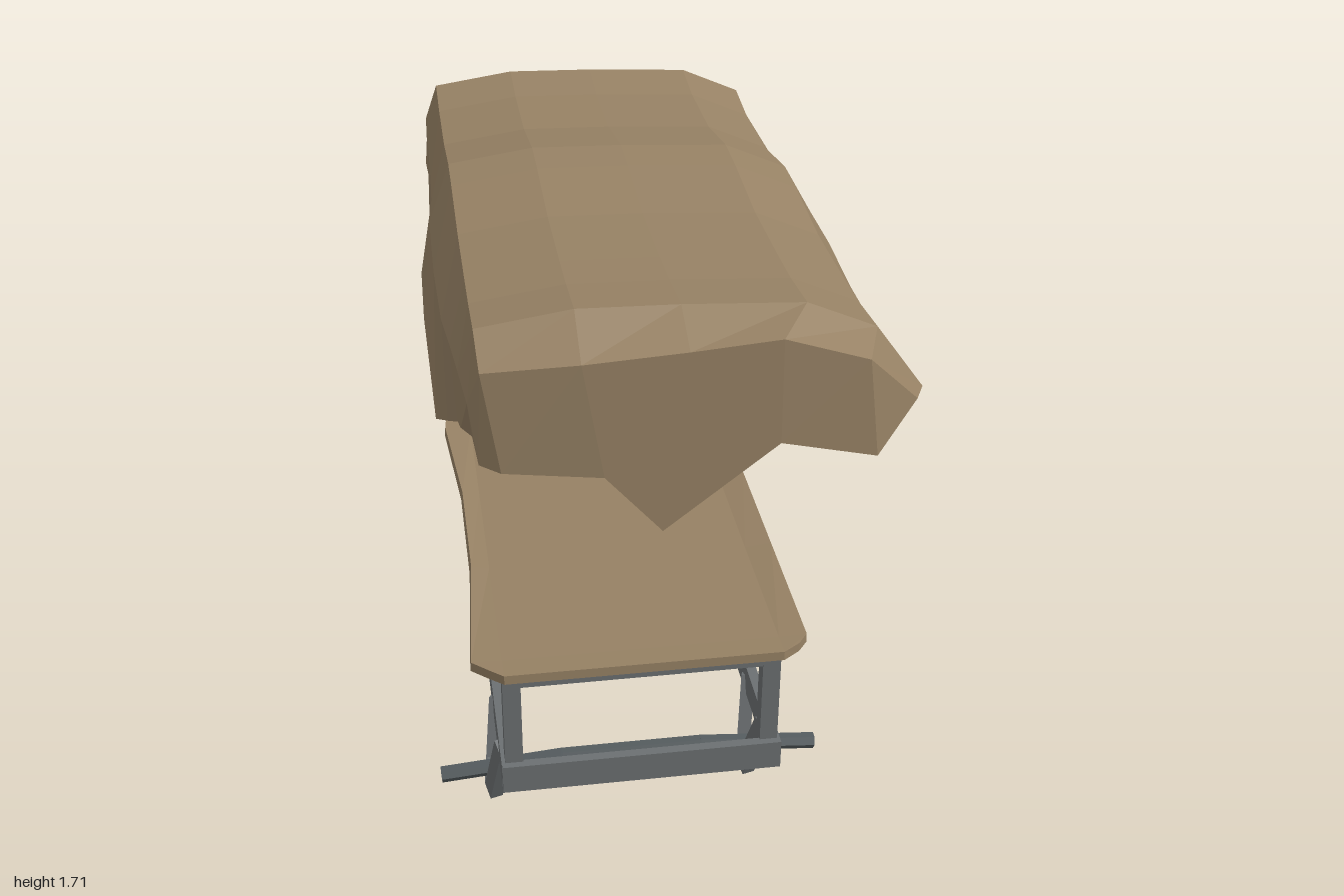
import * as THREE from 'three';

const mat = (name, color, extra = {}) => {
  const m = new THREE.MeshStandardMaterial({ color, flatShading: true, ...extra });
  m.name = name;
  return m;
};

// Thin solid sheet from a grid of points (rows run front to back, columns run -x to +x)
function sheetGeometry(rows, thickness) {
  const R = rows.length, C = rows[0].length, n = R * C;
  const top = new THREE.BufferGeometry();
  const pos = rows.flat(2), idx = [];
  const id = (i, j) => i * C + j;
  for (let i = 0; i < R - 1; i++) {
    for (let j = 0; j < C - 1; j++) {
      const a = id(i, j), b = id(i, j + 1), c = id(i + 1, j + 1), d = id(i + 1, j);
      idx.push(a, b, c, a, c, d);
    }
  }
  top.setAttribute('position', new THREE.Float32BufferAttribute(pos, 3));
  top.setIndex(idx);
  top.computeVertexNormals();
  const nor = top.attributes.normal.array;
  const all = pos.concat(pos.map((v, k) => v - nor[k] * thickness));
  const faces = idx.slice();
  for (let k = 0; k < idx.length; k += 3) faces.push(idx[k] + n, idx[k + 2] + n, idx[k + 1] + n);
  // rim joining both faces
  const rim = [];
  for (let j = 0; j < C - 1; j++) rim.push(id(0, j));
  for (let i = 0; i < R - 1; i++) rim.push(id(i, C - 1));
  for (let j = C - 1; j > 0; j--) rim.push(id(R - 1, j));
  for (let i = R - 1; i > 0; i--) rim.push(id(i, 0));
  rim.forEach((a, k) => {
    const b = rim[(k + 1) % rim.length];
    faces.push(a, a + n, b + n, a, b + n, b);
  });
  const g = new THREE.BufferGeometry();
  g.setAttribute('position', new THREE.Float32BufferAttribute(all, 3));
  g.setIndex(faces);
  const flat = g.toNonIndexed();
  flat.computeVertexNormals();
  return flat;
}

export function createModel() {
  const model = new THREE.Group();
  const hide = mat('tan hide', 0x968164, { side: THREE.DoubleSide });
  const frame = mat('grey frame', 0x6c7072);
  const pipe = mat('dark pipe', 0x545b5e);

  const add = (name, geometry, material) => {
    const m = new THREE.Mesh(geometry, material);
    m.name = name;
    model.add(m);
    return m;
  };
  // square bar between two points
  const beam = (name, a, b, w, h) => {
    const A = new THREE.Vector3(...a), B = new THREE.Vector3(...b);
    const m = add(name, new THREE.BoxGeometry(w, h, A.distanceTo(B)), frame);
    m.position.copy(A).lerp(B, 0.5);
    m.lookAt(B);
  };
  // six-sided pipe through a few points
  const pipeRun = (name, pts, r) => {
    for (let i = 0; i < pts.length - 1; i++) {
      const A = new THREE.Vector3(...pts[i]), B = new THREE.Vector3(...pts[i + 1]);
      const m = add(name, new THREE.CylinderGeometry(r, r, A.distanceTo(B) + r * 0.2, 6), pipe);
      m.position.copy(A).lerp(B, 0.5);
      m.quaternion.setFromUnitVectors(new THREE.Vector3(0, 1, 0), B.sub(A).normalize());
    }
  };

  // Canopy: front hem and crease, ribs over the frame, back crease and hem
  const canopy = [
    [[-0.5, 1.39, 0.9], [-0.49, 1.34, 0.95], [-0.44, 1.33, 0.98], [-0.2, 1.31, 1],
      [-0.06, 1.15, 1], [0.22, 1.37, 1], [0.46, 1.31, 0.99], [0.55, 1.4, 0.93]],
    [[-0.525, 1.41, 0.89], [-0.51, 1.5, 0.94], [-0.48, 1.585, 0.96], [-0.25, 1.605, 0.99],
      [0, 1.62, 0.99], [0.22, 1.635, 0.985], [0.43, 1.565, 0.98], [0.57, 1.42, 0.92]],
  ];
  // z, ridge height, left hem x and y, right hem x and y
  const ribs = [
    [0.86, 1.685, -0.53, 1.41, 0.6, 1.42],
    [0.69, 1.67, -0.55, 1.32, 0.575, 1.41],
    [0.55, 1.668, -0.575, 1.25, 0.575, 1.41],
    [0.27, 1.67, -0.585, 1.4, 0.575, 1.415],
    [0.0, 1.7, -0.58, 1.41, 0.58, 1.43],
    [-0.14, 1.708, -0.555, 1.34, 0.58, 1.43],
    [-0.4, 1.67, -0.54, 1.4, 0.575, 1.38],
    [-0.68, 1.675, -0.53, 1.4, 0.58, 1.41],
    [-0.85, 1.7, -0.525, 1.37, 0.61, 1.21],
  ];
  for (const [z, h, xl, yl, xr, yr] of ribs) {
    canopy.push([[xl, yl, z], [xl * 0.5 - 0.26, h - 0.14, z], [-0.485, h - 0.035, z], [-0.25, h, z],
      [0, h - 0.005, z], [0.3, h - 0.02, z], [0.475, h - 0.095, z], [xr, yr, z]]);
  }
  canopy.push(
    [[-0.53, 1.4, -0.88], [-0.52, 1.5, -0.9], [-0.49, 1.58, -0.92], [-0.25, 1.62, -0.94],
      [0, 1.62, -0.93], [0.28, 1.61, -0.935], [0.47, 1.55, -0.93], [0.6, 1.25, -0.88]],
    [[-0.5, 1.35, -0.9], [-0.49, 1.33, -0.93], [-0.44, 1.32, -0.95], [-0.2, 1.32, -1],
      [0, 1.38, -0.95], [0.28, 1.4, -0.94], [0.48, 1.36, -0.95], [0.57, 1.27, -0.91]],
  );
  add('canopy', sheetGeometry(canopy, 0.014), hide);

  // Table top: slightly sagging sheet with clipped corners
  const xs = [-0.53, -0.45, -0.1, 0.28, 0.355];
  const zs = [0.91, 0.84, 0.4, 0, -0.4, -0.79, -0.86];
  const tableTop = zs.map((z, i) => xs.map((x, j) => {
    const endRow = i === 0 || i === zs.length - 1, endCol = j === 0 || j === xs.length - 1;
    let px = x, pz = z;
    if (endRow && endCol) { px *= 0.92; pz *= 0.965; }
    if (j === 0 && (i === 2 || i === 3)) px = -0.5;
    if (j === 0 && i >= 5) { px = i === 5 ? -0.5 : -0.44; pz = i === 5 ? -0.72 : -0.79; }
    const sag = endRow || endCol ? 0 : 0.012 * Math.cos(z * 1.6);
    return [px, 0.688 - sag, pz];
  }));
  add('tableTop', sheetGeometry(tableTop, 0.026), hide);

  // Table frame, mirrored in two sides
  for (const [x, railX] of [[-0.43, -0.45], [0.26, 0.278]]) {
    beam('backLeg', [x, 0, -0.81], [x, 0.65, -0.795], 0.05, 0.055);
    beam('frontLeg', [x, 0.29, 0.84], [x, 0.65, 0.84], 0.048, 0.048);
    beam('sideRail', [railX, 0.322, 0.87], [railX, 0.322, -0.825], 0.028, 0.085);
    const rail = [[0.86, 0.632], [0.39, 0.612], [-0.36, 0.612], [-0.82, 0.635]];
    for (let i = 0; i < 3; i++) {
      beam('upperSideRail', [x, rail[i][1], rail[i][0]], [x, rail[i + 1][1], rail[i + 1][0]], 0.046, 0.048);
    }
    // V-shaped axle bracket
    const bx = railX - 0.028;
    beam('axleBracket', [railX, 0.32, 0.743], [bx, 0.085, 0.642], 0.036, 0.05);
    beam('axleBracket', [railX, 0.32, 0.517], [bx, 0.085, 0.608], 0.036, 0.05);
    add('axleBracketFoot', new THREE.BoxGeometry(0.034, 0.09, 0.075), frame).position.set(bx + 0.005, 0.122, 0.625);
  }
  for (const [z, out] of [[0.84, 0.87], [-0.8, -0.83]]) {
    beam('endBoard', [-0.463, 0.322, out], [0.292, 0.322, out], 0.026, 0.085);
    beam('upperEndRail', [-0.45, 0.635, z], [0.28, 0.635, z], 0.046, 0.05);
  }

  // Bent axle
  pipeRun('axle', [[-0.62, 0.145, 0.628], [-0.28, 0.172, 0.628], [0.12, 0.172, 0.628], [0.45, 0.143, 0.628]], 0.023);

  // Crooked canopy poles and the bolts that hold them
  pipeRun('canopyPole', [[-0.47, 0.56, -0.838], [-0.465, 0.68, -0.84], [-0.475, 0.87, -0.855],
    [-0.475, 1.15, -0.838], [-0.455, 1.42, -0.825]], 0.018);
  pipeRun('canopyPole', [[-0.435, 0.57, -0.845], [-0.418, 0.68, -0.86], [-0.392, 0.87, -0.888],
    [-0.394, 1.19, -0.885], [-0.43, 1.42, -0.872]], 0.018);
  pipeRun('poleBolt', [[-0.525, 0.598, -0.838], [-0.42, 0.598, -0.838]], 0.013);
  pipeRun('poleBolt', [[-0.435, 0.598, -0.79], [-0.435, 0.598, -0.895]], 0.013);

  // Canopy support bars
  pipeRun('canopyLongBar', [[-0.45, 1.425, 0.88], [-0.45, 1.425, -0.87]], 0.018);
  pipeRun('canopyLongBar', [[0.34, 1.435, 0.88], [0.34, 1.435, -0.86]], 0.018);
  pipeRun('canopyCrossBar', [[-0.5, 1.408, 0.85], [0.56, 1.408, 0.85]], 0.018);
  pipeRun('canopyCrossBar', [[-0.53, 1.408, 0.01], [0.56, 1.408, 0.01]], 0.018);

  return model;
}
